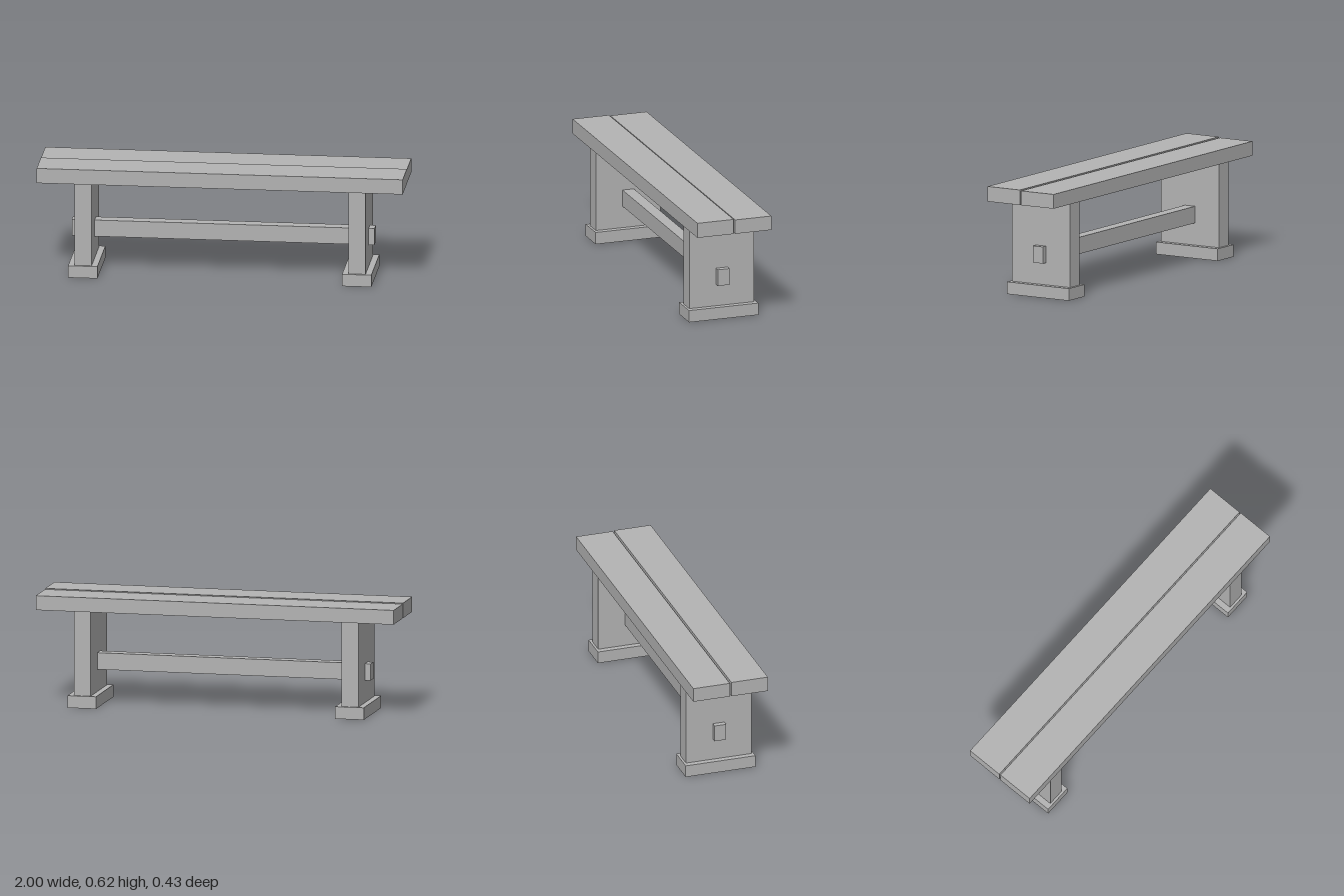
import * as THREE from 'three';

export function createModel() {
  const bench = new THREE.Group();
  bench.name = 'bench';
  const wood = new THREE.MeshStandardMaterial({ color: 0xb3b3b3 });
  wood.name = 'plain grey';

  // Box given by its low and high limits on each axis
  const block = (name, [x0, x1], [y0, y1], [z0, z1], parent = bench) => {
    const mesh = new THREE.Mesh(new THREE.BoxGeometry(x1 - x0, y1 - y0, z1 - z0), wood);
    mesh.position.set((x0 + x1) / 2, (y0 + y1) / 2, (z0 + z1) / 2);
    mesh.name = name;
    parent.add(mesh);
  };

  // Seat: two planks with a narrow gap, the front one slightly thicker
  block('frontSeatPlank', [-1, 1], [0.534, 0.617], [0.005, 0.214]);
  block('backSeatPlank', [-1, 1], [0.534, 0.613], [-0.213, -0.004]);

  // Trestle ends: upright slab on a wider foot
  for (const [side, x] of [['left', 0.747], ['right', -0.75]]) {
    const trestle = new THREE.Group();
    trestle.name = side + 'Trestle';
    trestle.position.x = x;
    block(side + 'Leg', [-0.047, 0.047], [0.067, 0.534], [-0.187, 0.187], trestle);
    block(side + 'Foot', [-0.08, 0.08], [0, 0.067], [-0.2, 0.2], trestle);
    bench.add(trestle);
  }

  // Stretcher passing through both legs
  block('stretcher', [-0.828, 0.826], [0.189, 0.281], [-0.033, 0.033]);

  return bench;
}
